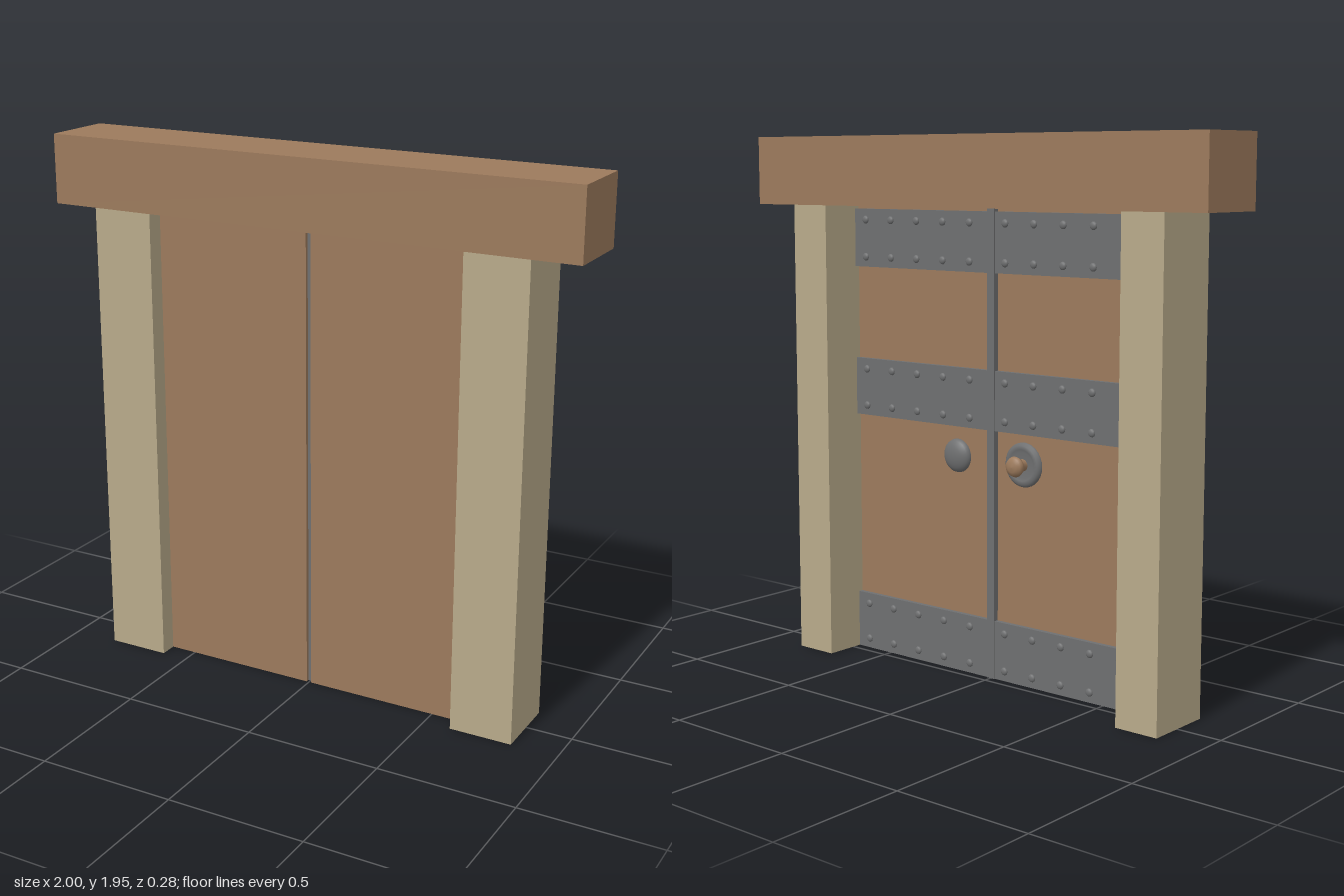
import * as THREE from 'three';

export function createModel() {
  const root = new THREE.Group();
  root.name = 'doubleDoor';

  const material = (name, color) => {
    const m = new THREE.MeshStandardMaterial({ color });
    m.name = name;
    return m;
  };
  const wood = material('brownWood', 0x9c7a5c);
  const stone = material('paleStone', 0xb8aa8a);
  const iron = material('greyIron', 0x6e6f70);

  const add = (name, geometry, mat, parent = root) => {
    const mesh = new THREE.Mesh(geometry, mat);
    mesh.name = name;
    parent.add(mesh);
    return mesh;
  };
  // Box given by its lower and upper limits on each axis
  const block = (name, [x0, x1], [y0, y1], [z0, z1], mat, parent) => {
    const mesh = add(name, new THREE.BoxGeometry(x1 - x0, y1 - y0, z1 - z0), mat, parent);
    mesh.position.set((x0 + x1) / 2, (y0 + y1) / 2, (z0 + z1) / 2);
    return mesh;
  };

  const H = 1.7;            // opening height
  const FRONT = 0.1375;     // front plane of frame
  const BACK = -0.12;       // back plane of posts
  const DOOR_FRONT = 0.073;
  const DOOR_BACK = 0.053;
  const BAND_BACK = 0.035;
  const EDGE = 0.665;       // outer edge of a leaf, inside the rebate
  const GAP = 0.009;

  // Lintel
  block('lintel', [-1, 1], [H, 1.95], [-FRONT, FRONT], wood);

  // Posts, rebated behind to take the leaves
  for (const s of [-1, 1]) {
    const section = new THREE.Shape([
      [0.6, FRONT], [0.83, FRONT], [0.83, BACK],
      [EDGE, BACK], [EDGE, DOOR_FRONT], [0.6, DOOR_FRONT],
    ].map(([x, z]) => new THREE.Vector2(s * x, -z)));
    const geometry = new THREE.ExtrudeGeometry(section, { depth: H, bevelEnabled: false });
    geometry.rotateX(-Math.PI / 2);
    add(s > 0 ? 'leftPost' : 'rightPost', geometry, stone);
  }

  // Low dome pointing towards the back
  const dome = (radius, height, segments) => {
    const g = new THREE.SphereGeometry(radius, segments, 6, 0, Math.PI * 2, 0, Math.PI / 2);
    g.scale(1, height / radius, 1);
    return g.rotateX(-Math.PI / 2);
  };
  const rivetGeometry = dome(0.015, 0.009, 10);

  // Leaves with iron bands and two rows of rivets on each band
  const bands = [['bottomBand', 0], ['middleBand', 0.91], ['topBand', 1.47]];
  for (const s of [1, -1]) {
    const leaf = new THREE.Group();
    leaf.name = s > 0 ? 'leftLeaf' : 'rightLeaf';
    root.add(leaf);
    const span = s > 0 ? [GAP, EDGE] : [-EDGE, -GAP];
    block('leafPanel', span, [0, H], [DOOR_BACK, DOOR_FRONT], wood, leaf);
    for (const [name, y] of bands) {
      block(name, span, [y, y + 0.215], [BAND_BACK, DOOR_BACK], iron, leaf);
      for (let i = 0; i < 5; i++) {
        for (const dy of [0.037, 0.175]) {
          const x = (s > 0 ? 0.61 : -0.062) - 0.127 * i;
          add('rivet', rivetGeometry, iron, leaf).position.set(x, y + dy, BAND_BACK);
        }
      }
    }
  }

  // Cover strip behind the joint
  block('coverStrip', [-0.016, 0.016], [0, H], [0.031, 0.06], iron);

  // Domed boss on one leaf
  add('domedBoss', dome(0.062, 0.03, 28), iron).position.set(0.172, 0.8, DOOR_BACK);

  // Round plate with a turned wooden knob on the other leaf
  const lathe = (points) => new THREE.LatheGeometry(
    points.map(([r, h]) => new THREE.Vector2(r, h)), 28).rotateX(-Math.PI / 2);
  const handle = new THREE.Group();
  handle.name = 'handle';
  handle.position.set(-0.137, 0.8, DOOR_BACK);
  root.add(handle);
  add('handlePlate', lathe([
    [0.08, 0], [0.079, 0.008], [0.07, 0.016], [0.056, 0.017], [0.046, 0.01], [0, 0.01],
  ]), iron, handle);
  add('handleKnob', lathe([
    [0.022, 0.008], [0.02, 0.035], [0.032, 0.042], [0.037, 0.053],
    [0.032, 0.065], [0.018, 0.072], [0, 0.074],
  ]), wood, handle);

  return root;
}
